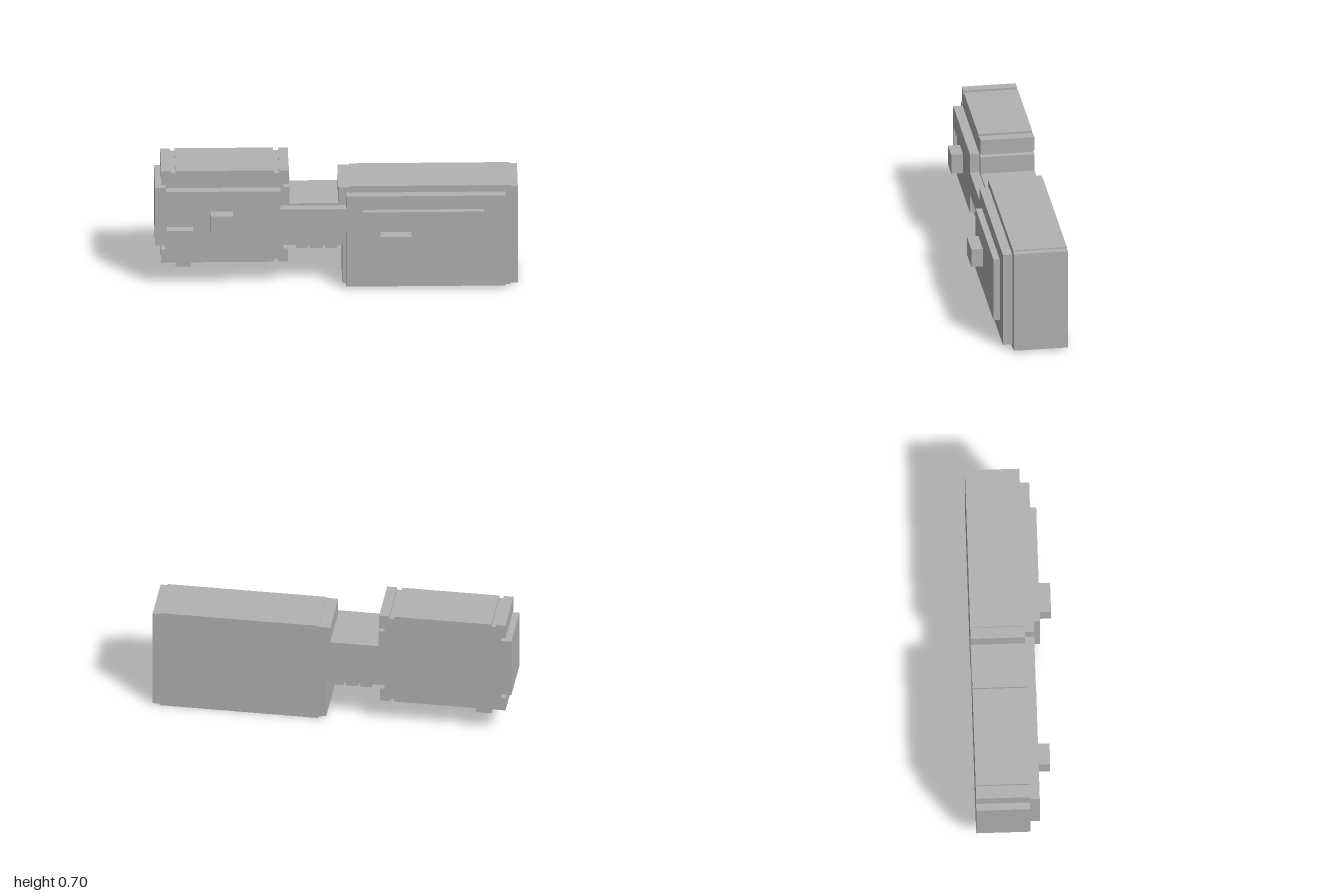
import * as THREE from 'three';

const grey = new THREE.MeshStandardMaterial({ color: 0xb2b2b2 });
grey.name = 'plain grey';

// Extrudes an outline of [x, y] corners from z0 to z1
function slab(name, points, z0, z1, holes = []) {
  const toVectors = (list) => list.map(([x, y]) => new THREE.Vector2(x, y));
  const shape = new THREE.Shape(toVectors(points));
  for (const hole of holes) shape.holes.push(new THREE.Path(toVectors(hole)));
  const geometry = new THREE.ExtrudeGeometry(shape, { depth: z1 - z0, bevelEnabled: false });
  geometry.translate(0, 0, z0);
  const mesh = new THREE.Mesh(geometry, grey);
  mesh.name = name;
  return mesh;
}

const rect = (x0, x1, y0, y1) => [[x0, y0], [x1, y0], [x1, y1], [x0, y1]];

// Corners of a groove cut into a horizontal edge
const groove = (xa, xb, edge, floor) => [[xa, edge], [xa, floor], [xb, floor], [xb, edge]];

export function createModel() {
  const model = new THREE.Group();
  model.name = 'steppedBlock';
  const back = -0.225, face = 0.075, panelFace = 0.127, plateFace = 0.162;

  // Thick body, outlined counterclockwise from the lower left
  model.add(slab('body', [
    [-1, 0.253], [-0.942, 0.253], [-0.942, 0.227], [-0.967, 0.227], [-0.967, 0.148],
    // lower rail with foot and groove
    [-0.888, 0.148], [-0.888, 0.122], [-0.803, 0.122], [-0.803, 0.148],
    ...groove(-0.345, -0.323, 0.148, 0.163),
    [-0.268, 0.148], [-0.268, 0.227], [-0.292, 0.227], [-0.292, 0.248],
    // underside of the bridge
    [-0.222, 0.248], [-0.222, 0.229],
    ...groove(-0.16, -0.148, 0.229, 0.246),
    ...groove(-0.077, -0.064, 0.229, 0.246),
    [0.002, 0.229], [0.002, 0.246], [0.032, 0.246],
    // large end
    [0.032, 0.017], [0.077, 0.01], [0.077, 0], [0.96, 0], [0.96, 0.01], [1, 0.01],
    [1, 0.596], [0.96, 0.596], [0.96, 0.603], [0.075, 0.603], [0.075, 0.596], [0.01, 0.596],
    // top of the bridge
    [0.01, 0.502], [-0.258, 0.502], [-0.258, 0.601], [-0.292, 0.601], [-0.292, 0.62],
    // upper rail with grooves
    [-0.263, 0.62], [-0.263, 0.703],
    ...groove(-0.318, -0.345, 0.703, 0.688),
    ...groove(-0.888, -0.913, 0.703, 0.688),
    [-0.967, 0.703], [-0.967, 0.62], [-0.942, 0.62], [-0.942, 0.601], [-1, 0.601],
  ], back, face));

  // Raised front panel with a window recess near its end
  model.add(slab('frontPanel', [
    [-0.94, 0.245], [-0.31, 0.245], [-0.31, 0.358], [0.053, 0.358], [0.053, 0.017],
    [0.93, 0.017], [0.93, 0.564], [0.053, 0.564], [0.053, 0.488], [-0.31, 0.488],
    [-0.31, 0.6], [-0.94, 0.6],
  ], face, panelFace, [rect(-0.935, -0.792, 0.364, 0.479)]));

  // Plate and studs on the panel
  model.add(slab('largePlate', rect(0.143, 0.812, 0.115, 0.483), panelFace, plateFace));
  model.add(slab('largeStud', rect(0.24, 0.411, 0.256, 0.363), plateFace, 0.226));
  model.add(slab('smallStud', rect(-0.695, -0.573, 0.363, 0.479), panelFace, 0.192));

  return model;
}
